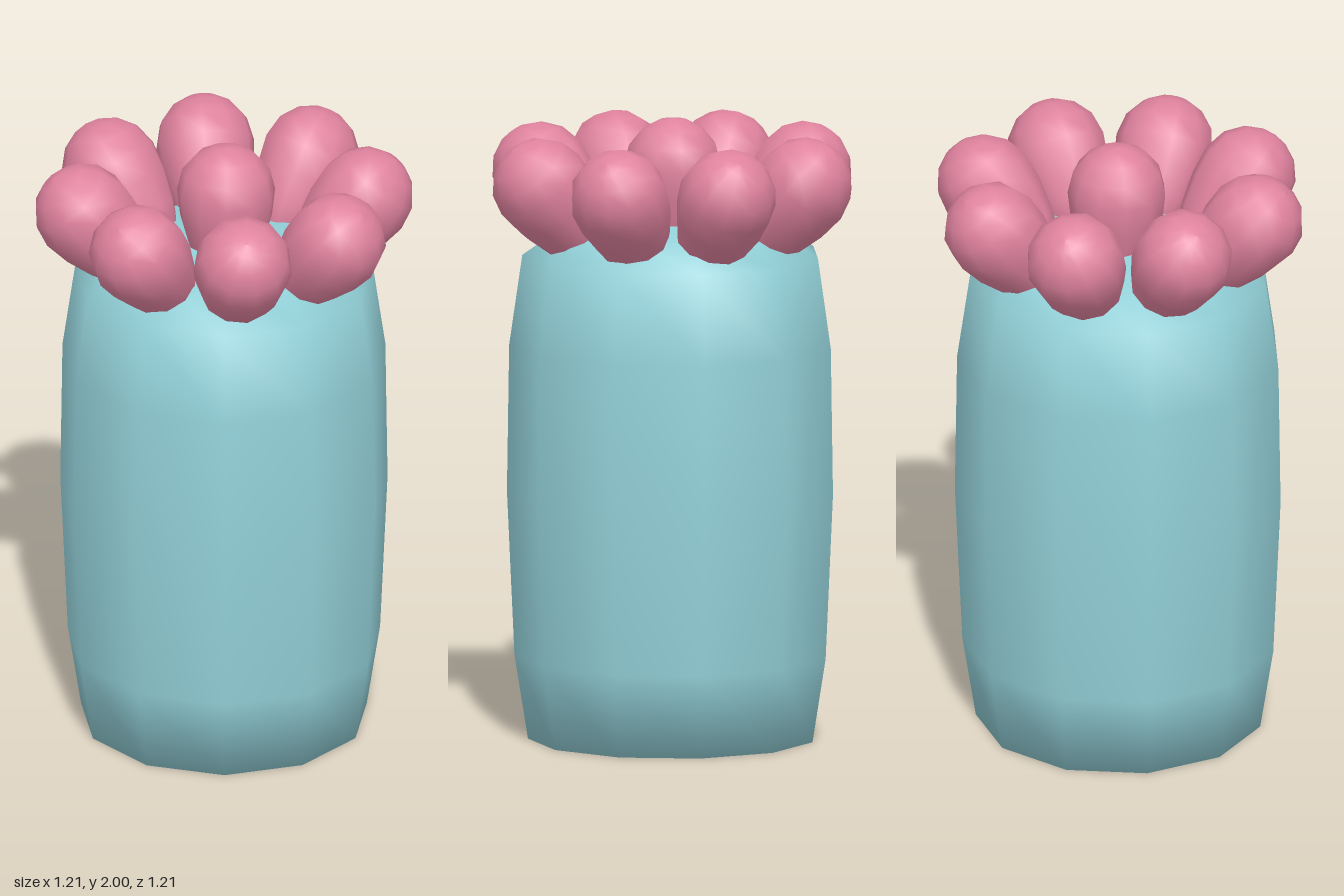
import * as THREE from 'three';

const SIDES = 11;
const teal = new THREE.MeshStandardMaterial({ color: 0x93d1d9 });
teal.name = 'teal';
const pink = new THREE.MeshStandardMaterial({ color: 0xdf829e });
pink.name = 'pink';

// Smooth revolved solid with few sides, from [radius, height] pairs, bottom to top
function turned(profile, material, name) {
  const points = profile.map(([r, y]) => new THREE.Vector2(r, y));
  const mesh = new THREE.Mesh(new THREE.LatheGeometry(points, SIDES, -Math.PI / 2), material);
  mesh.name = name;
  return mesh;
}

// Bud with its round head centred on the origin and a stalk narrowing downwards
const HEAD = 0.158;
function makeBud(name) {
  const profile = [[0, -0.32], [0.08, -0.29], [0.12, -0.19], [0.148, -0.09]];
  for (const deg of [0, 27, 52, 74]) {
    const a = THREE.MathUtils.degToRad(deg);
    profile.push([HEAD * Math.cos(a), HEAD * Math.sin(a)]);
  }
  profile.push([0, HEAD]);
  return turned(profile, pink, name);
}

export function createModel() {
  const model = new THREE.Group();
  model.name = 'buddedColumn';

  // Barrel-shaped body with a domed shoulder
  model.add(turned([
    [0, 0], [0.46, 0], [0.503, 0.27], [0.527, 0.8],
    [0.52, 1.27], [0.478, 1.56], [0.34, 1.655], [0, 1.675],
  ], teal, 'body'));

  // Upright bud in the middle
  const centre = makeBud('centreBud');
  centre.position.set(0, 1.842, -0.01);
  model.add(centre);

  // Ring of eight buds leaning outwards
  const ring = new THREE.Group();
  ring.name = 'budRing';
  for (let i = 0; i < 8; i++) {
    const holder = new THREE.Group();
    holder.name = 'ringBud' + (i + 1);
    holder.rotation.y = i * Math.PI / 4 + 0.06;
    const bud = makeBud('bud');
    bud.position.set(0, 1.802, 0.452);
    bud.rotation.x = THREE.MathUtils.degToRad(40);
    holder.add(bud);
    ring.add(holder);
  }
  model.add(ring);
  return model;
}
